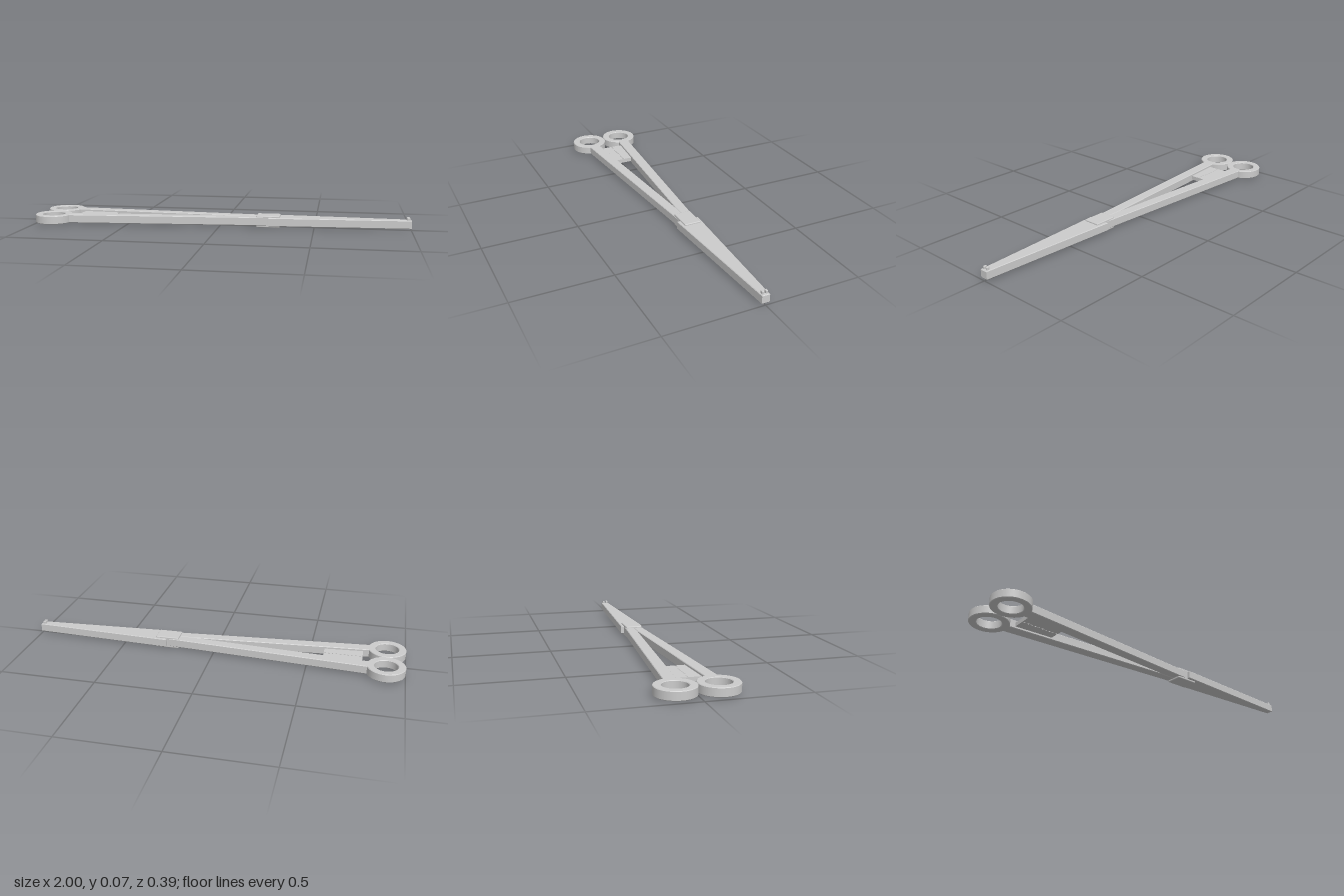
import * as THREE from 'three';
import { RoundedBoxGeometry } from 'three/addons/geometries/RoundedBoxGeometry.js';

const Y0 = 0.01, THICK = 0.044;

export function createModel() {
  const group = new THREE.Group();
  const material = new THREE.MeshStandardMaterial({ color: 0xcccccc });

  const add = (name, geometry) => {
    const mesh = new THREE.Mesh(geometry, material);
    mesh.name = name;
    group.add(mesh);
    return mesh;
  };

  // Flat plate: plan outline (x, z) raised from y with a small edge bevel
  const plate = (name, shape, y = Y0, height = THICK, bevel = 0.003) => {
    const geometry = new THREE.ExtrudeGeometry(shape, {
      depth: height - 2 * bevel, curveSegments: 48, bevelEnabled: bevel > 0,
      bevelThickness: bevel, bevelSize: bevel, bevelOffset: -bevel, bevelSegments: 1,
    });
    geometry.rotateX(-Math.PI / 2).translate(0, y + bevel, 0);
    return add(name, geometry);
  };
  const outline = (points, side = 1) =>
    new THREE.Shape(points.map(([x, z]) => new THREE.Vector2(x, -z * side)));

  for (const side of [1, -1]) {
    const prefix = side > 0 ? 'front' : 'back';

    // Finger ring
    const ring = new THREE.Shape();
    ring.absarc(-0.902, -side * 0.098, 0.098, 0, Math.PI * 2);
    const hole = new THREE.Path();
    hole.absarc(-0.902, -side * 0.098, 0.06, 0, Math.PI * 2, true);
    ring.holes.push(hole);
    plate(prefix + 'FingerRing', ring);

    // Handle arm, meeting its twin ahead of the box lock
    plate(prefix + 'Arm', outline([
      [-0.825, 0.127], [-0.825, 0.066], [0.12, 0], [0.28, 0], [0.28, 0.042],
    ], side));

    // Ratchet bar with saw teeth along the middle
    const teeth = [];
    const count = 10, x0 = -0.78, pitch = 0.2 / count;
    for (let i = 0; i < count; i++) {
      const x = x0 + i * pitch;
      teeth.push([x, side * -0.003], [x + pitch * 0.8, side * 0.004]);
    }
    plate(prefix + 'Ratchet', outline([
      ...teeth.map(([x, z]) => [x, z * side + 0.0005]),
      [-0.58, 0], [-0.58, 0.067], [-0.78, 0.067],
    ], side), 0.021, 0.022, 0);

    // Gripping tooth at the tip
    add(prefix + 'TipTooth', new RoundedBoxGeometry(0.016, 0.02, 0.011, 2, 0.003))
      .position.set(0.983, 0.058, side * 0.0095);
  }

  // Closed tapering jaws
  plate('jaws', outline([[0.26, 0.06], [0.26, -0.06], [1, -0.02], [1, 0.02]]));

  // Box lock around the crossing
  add('boxLock', new RoundedBoxGeometry(0.124, 0.062, 0.088, 2, 0.005))
    .position.set(0.258, 0.031, 0);

  return group;
}
